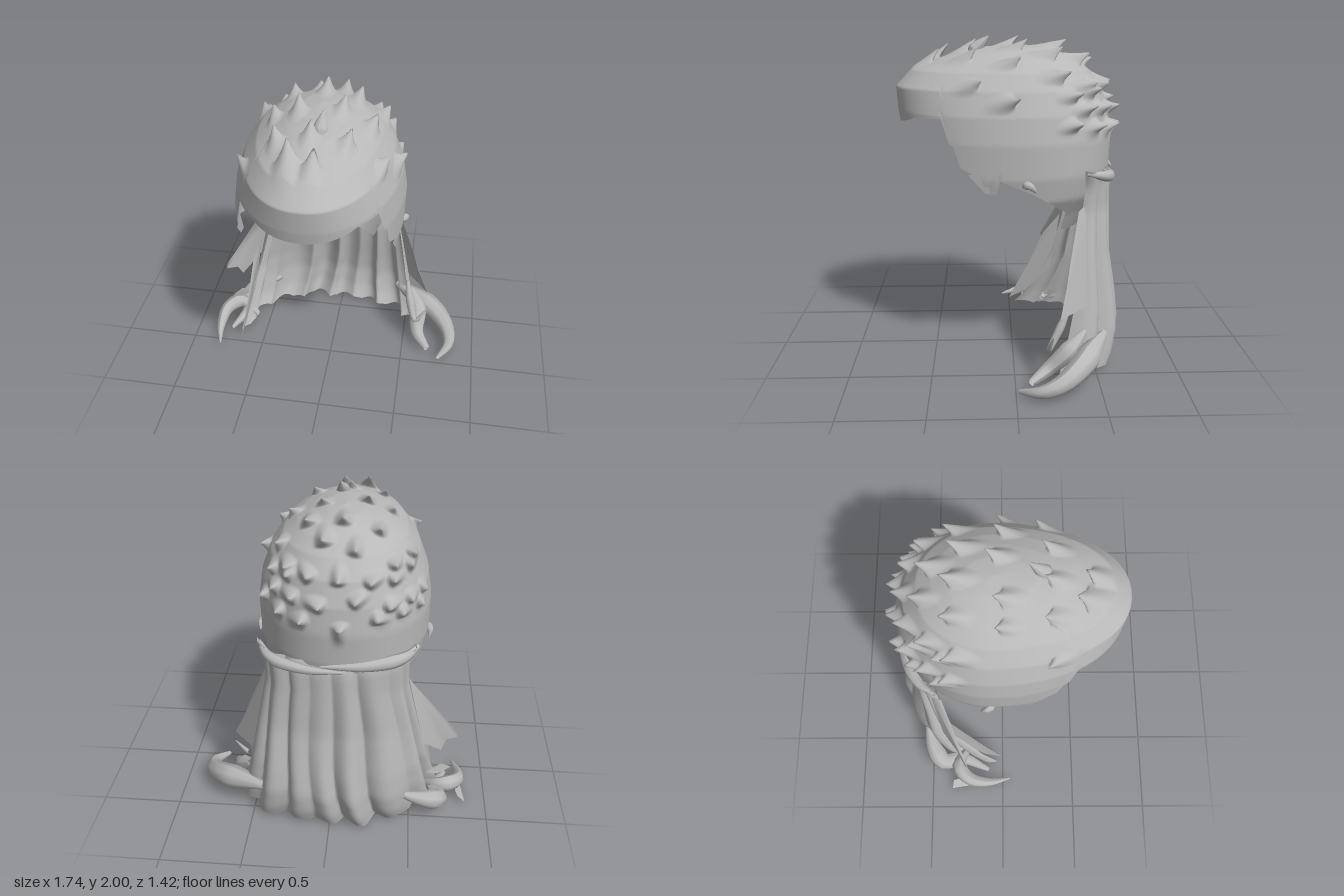
import * as THREE from 'three';

const hair = new THREE.MeshStandardMaterial({ color: 0xb8b8b8, side: THREE.DoubleSide });
hair.name = 'hair grey';
const CX = -0.055, CZ = -0.05; // middle of the cap

// piecewise linear lookup: table rows are [key, ...values], keys ascending
function lookup(table, key, col = 1) {
  if (key <= table[0][0]) return table[0][col];
  for (let i = 1; i < table.length; i++) {
    const a = table[i - 1], b = table[i];
    if (key <= b[0]) return a[col] + (b[col] - a[col]) * (key - a[0]) / (b[0] - a[0]);
  }
  return table[table.length - 1][col];
}

// grid surface from point(u, v), u and v in 0..1
function sheet(point, nu, nv) {
  const pos = [], idx = [];
  for (let j = 0; j <= nv; j++)
    for (let i = 0; i <= nu; i++) pos.push(...point(i / nu, j / nv));
  for (let j = 0; j < nv; j++)
    for (let i = 0; i < nu; i++) {
      const a = j * (nu + 1) + i, b = a + nu + 1;
      idx.push(a, b, a + 1, b, b + 1, a + 1);
    }
  const g = new THREE.BufferGeometry();
  g.setAttribute('position', new THREE.Float32BufferAttribute(pos, 3));
  g.setIndex(idx);
  g.computeVertexNormals();
  return g;
}

// cap cross-sections by height: half width, front reach, back reach
const CAP = [
  [0.84, 0.38, 0.73, 0.38], [0.96, 0.43, 0.73, 0.45], [1.06, 0.485, 0.73, 0.52],
  [1.2, 0.512, 0.73, 0.56], [1.4, 0.515, 0.73, 0.57], [1.56, 0.49, 0.755, 0.55],
  [1.7, 0.435, 0.765, 0.5], [1.8, 0.36, 0.67, 0.42], [1.86, 0.28, 0.51, 0.33],
  [1.9, 0.2, 0.38, 0.25], [1.93, 0.11, 0.23, 0.15], [1.945, 0, 0, 0],
];
// height of the lower edge by z
const RIM = [
  [-0.46, 0.84], [-0.4, 0.85], [-0.38, 0.97], [-0.3, 1.01], [-0.1, 1.12], [0.09, 1.2],
  [0.1, 1.11], [0.17, 1.12], [0.18, 1.2], [0.32, 1.27], [0.34, 1.37],
  [0.39, 1.42], [0.4, 1.54], [0.55, 1.54], [0.72, 1.47],
];
function capPoint(a, y) {
  const c = Math.cos(a), s = Math.sin(a);
  const reach = lookup(CAP, y, c > 0 ? 2 : 3);
  return new THREE.Vector3(CX + lookup(CAP, y) * Math.sign(s) * Math.abs(s) ** 0.92, y, CZ + reach * c);
}
function capNormal(a, y) {
  const du = capPoint(a + 0.05, y).sub(capPoint(a - 0.05, y));
  const dv = capPoint(a, y + 0.02).sub(capPoint(a, y - 0.02));
  return du.cross(dv).normalize();
}

// lock along a path, thickest near the middle and tapered to both ends
function lock(points, radius, tip = 0.1, start = 0.3) {
  const curve = new THREE.CatmullRomCurve3(points.map(p => new THREE.Vector3(...p)));
  const nt = 18, nr = 8, g = new THREE.TubeGeometry(curve, nt, radius, nr);
  const p = g.attributes.position, v = new THREE.Vector3();
  for (let i = 0; i < p.count; i++) {
    const t = Math.floor(i / (nr + 1)) / nt, c = curve.getPointAt(t);
    const grow = start + (1 - start) * Math.min(1, t * 3);
    v.fromBufferAttribute(p, i).sub(c).multiplyScalar(grow * (1 - (1 - tip) * t * t)).add(c);
    p.setXYZ(i, v.x, Math.max(0, v.y), v.z);
  }
  g.computeVertexNormals();
  return g;
}

// thin pointed strip from outline corners
function shard(...corners) {
  const g = new THREE.BufferGeometry();
  g.setAttribute('position', new THREE.Float32BufferAttribute(corners.flat(), 3));
  const idx = [];
  for (let i = 1; i < corners.length - 1; i++) idx.push(0, i, i + 1);
  g.setIndex(idx);
  g.computeVertexNormals();
  return g;
}

// swept-back tufts, each a place on the cap with a lean direction
function layTufts() {
  const tufts = [];
  let seed = 7;
  const rnd = () => (seed = (seed * 16807) % 2147483647) / 2147483647 - 0.5;
  const put = (a, y, size) => {
    const n = capNormal(a, y), back = new THREE.Vector3(0, 0.25, -1);
    const along = back.clone().addScaledVector(n, -back.dot(n)).normalize();
    const lean = new THREE.Vector3(0, 0.1, -0.8).addScaledVector(n, 0.65).normalize();
    tufts.push({ at: capPoint(a, y), along, across: along.clone().cross(n), lean, size });
  };
  // rows across the top, placed by z and x
  [0.26, 0, -0.24, -0.4].forEach((z0, row) => {
    for (let k = -2; k <= 2; k++) {
      const x = (k + (row % 2) * 0.5) * 0.18 + rnd() * 0.06, z = z0 + rnd() * 0.08;
      const q = y => Math.hypot(x / lookup(CAP, y), (z - CZ) / lookup(CAP, y, z > CZ ? 2 : 3));
      let lo = 1.6, hi = 1.925;
      if (q(lo) > 1) continue;
      for (let i = 0; i < 20; i++) q((lo + hi) / 2) < 1 ? lo = (lo + hi) / 2 : hi = (lo + hi) / 2;
      put(Math.atan2(x / lookup(CAP, lo), (z - CZ) / lookup(CAP, lo, z > CZ ? 2 : 3)), lo, 0.085 + rnd() * 0.02);
    }
  });
  // rows down the back
  [1.68, 1.58, 1.48].forEach((y, row) => {
    for (let k = -3; k <= 3; k++)
      put(Math.PI + (k + (row % 2) * 0.5) * 0.32 + rnd() * 0.12, y + rnd() * 0.06, 0.075);
  });
  // large forelocks
  put(-0.3, 1.845, 0.13);
  put(0.09, 1.84, 0.11);
  return tufts;
}

export function createModel() {
  const model = new THREE.Group();
  const add = (name, g) => {
    const m = new THREE.Mesh(g, hair);
    m.name = name;
    model.add(m);
  };

  // domed cap with a ragged lower edge, its skin drawn out into tufts
  const tufts = layTufts(), d = new THREE.Vector3();
  add('cap', sheet((u, v) => {
    const a = u * Math.PI * 2, top = 1.45, rim = Math.min(1.55, lookup(RIM, capPoint(a, 1.4).z));
    const mid = Math.max(top, rim + 0.02);
    const y = v < 0.8 ? mid + (1.945 - mid) * (1 - (v / 0.8) ** 1.8) : mid + (rim - mid) * (v - 0.8) / 0.2;
    const base = capPoint(a, y), p = base.clone();
    let best = 0, pick = null;
    for (const t of tufts) {
      d.subVectors(base, t.at);
      if (d.lengthSq() > 0.06) continue;
      const s = d.dot(t.along), w = d.dot(t.across) / (t.size * 0.75);
      const f = t.size * Math.max(0, 1 - Math.hypot(w, s / (s < 0 ? t.size * 1.7 : 0.035))) ** 1.7;
      if (f > best) { best = f; pick = t; }
    }
    if (pick) p.addScaledVector(pick.lean, best * 1.15);
    return [p.x, Math.min(2, p.y), p.z];
  }, 240, 110));
  add('crownTip', lock([[-0.02, 1.87, 0.27], [-0.02, 1.93, 0.21], [-0.01, 2.0, 0.14]], 0.05, 0.02));

  // combed inner lining close to the back of the cap
  add('lining', sheet((u, v) => {
    const a = Math.PI + (u * 2 - 1) * 1.5, k = 0.95 - 0.18 * v * v + 0.012 * Math.sin(u * 50) * v;
    const p = capPoint(a, 1.2 + 0.4 * v);
    return [CX + (p.x - CX) * k, p.y, CZ + (p.z - CZ) * k];
  }, 60, 8));

  // fluted curtain of long hair: half width, back z, edge z on the right and left
  const FALL = [
    [0, 0.62, -0.6, -0.04, -0.26], [0.1, 0.6, -0.645, -0.13, -0.28], [0.25, 0.57, -0.67, -0.22, -0.32],
    [0.4, 0.54, -0.655, -0.3, -0.35], [0.7, 0.48, -0.61, -0.36, -0.38], [1.0, 0.42, -0.605, -0.4, -0.4],
    [1.15, 0.42, -0.605, -0.42, -0.42], [1.25, 0.46, -0.57, -0.41, -0.41],
  ];
  add('longHair', sheet((u, v) => {
    const s = u * 2 - 1, ragged = Math.abs(s) < 0.9 ? 0.025 * Math.abs(Math.sin(u * 31)) : 0;
    const crest = 1.2 + 0.05 * Math.abs(s), y = crest - v * (crest - ragged);
    const a = (s + 0.03 * Math.sin(v * 6 + u * 9) * v) * Math.PI / 2;
    const w = lookup(FALL, y), zb = lookup(FALL, y, 2), ze = lookup(FALL, y, s < 0 ? 3 : 4);
    const wave = Math.abs(Math.sin(u * Math.PI * 8 + 0.7 * Math.sin(u * 11) + v * 1.1));
    const fold = (wave - 0.55) * (0.02 + 0.075 * v) * (0.75 + 0.4 * Math.sin(u * 17 + 1));
    const c = Math.max(0, Math.cos(a)) ** 0.75;
    return [-0.03 + (w + fold * 0.7) * Math.sin(a), y, Math.max(-0.72, ze + (zb - ze) * c - fold * c)];
  }, 140, 32));

  // strands wrapped round the gathered top
  add('wrapStrand', lock([[0.42, 1.23, -0.42], [0.34, 1.2, -0.54], [0.15, 1.17, -0.6], [-0.1, 1.16, -0.61]], 0.04));
  add('wrapStrand', lock([[-0.5, 1.23, -0.4], [-0.42, 1.21, -0.5], [-0.22, 1.2, -0.59], [0.05, 1.2, -0.62]], 0.045));

  // loose side flaps
  add('leftFlap', shard([0.37, 1.05, -0.44], [0.41, 1.0, -0.38], [0.53, 0.7, -0.32], [0.57, 0.58, -0.3], [0.645, 0.42, -0.26], [0.5, 0.44, -0.43]));
  add('rightFlap', shard([-0.46, 1.02, -0.44], [-0.47, 0.98, -0.38], [-0.6, 0.7, -0.32], [-0.79, 0.5, -0.24], [-0.79, 0.46, -0.25], [-0.72, 0.46, -0.28], [-0.69, 0.39, -0.3], [-0.57, 0.52, -0.4]));
  add('rightHemFlap', shard([-0.54, 0.72, -0.36], [-0.59, 0.57, -0.25], [-0.62, 0.3, -0.13], [-0.65, 0.04, 0], [-0.64, 0.1, -0.12], [-0.6, 0.3, -0.3]));
  add('leftWisp', lock([[0.5, 0.45, -0.33], [0.53, 0.32, -0.27], [0.58, 0.2, -0.2], [0.66, 0.31, -0.22]], 0.03));
  add('rightWisp', shard([-0.77, 0.21, -0.25], [-0.7, 0.26, -0.28], [-0.6, 0.22, -0.33], [-0.68, 0.19, -0.3]));

  // curled ends at the hem
  add('leftCurl', lock([[0.42, 0.23, -0.55], [0.56, 0.2, -0.47], [0.71, 0.16, -0.38], [0.81, 0.1, -0.26], [0.83, 0.06, -0.14], [0.76, 0.03, -0.02]], 0.085, 0.15));
  add('leftCurlInner', lock([[0.53, 0.3, -0.42], [0.59, 0.2, -0.32], [0.6, 0.09, -0.2], [0.68, 0.04, -0.09]], 0.065, 0.35));
  add('rightCurl', lock([[-0.46, 0.2, -0.53], [-0.6, 0.14, -0.49], [-0.69, 0.09, -0.42], [-0.66, 0.06, -0.3], [-0.74, 0.03, -0.1]], 0.07, 0.2));
  add('rightCurlOuter', lock([[-0.58, 0.06, -0.24], [-0.72, 0.11, -0.31], [-0.81, 0.09, -0.24], [-0.83, 0.04, -0.1], [-0.8, 0.01, 0.05]], 0.06, 0.1));
  add('rightCurlTip', shard([-0.87, 0.01, -0.36], [-0.82, 0.05, -0.35], [-0.78, 0.08, -0.22], [-0.84, 0.02, -0.16]));

  // small jagged tips beside the ears
  for (const side of [-1, 1]) {
    add('earTip', shard([CX + side * 0.5, 1.23, 0.1], [CX + side * 0.47, 1.23, 0.27], [CX + side * 0.48, 1.12, 0.17], [CX + side * 0.48, 1.11, 0.1]));
    add('earWisp', lock([[CX + side * 0.48, 1.17, -0.04], [CX + side * 0.52, 1.17, -0.09], [CX + side * 0.52, 1.13, -0.13]], 0.03));
  }
  return model;
}
